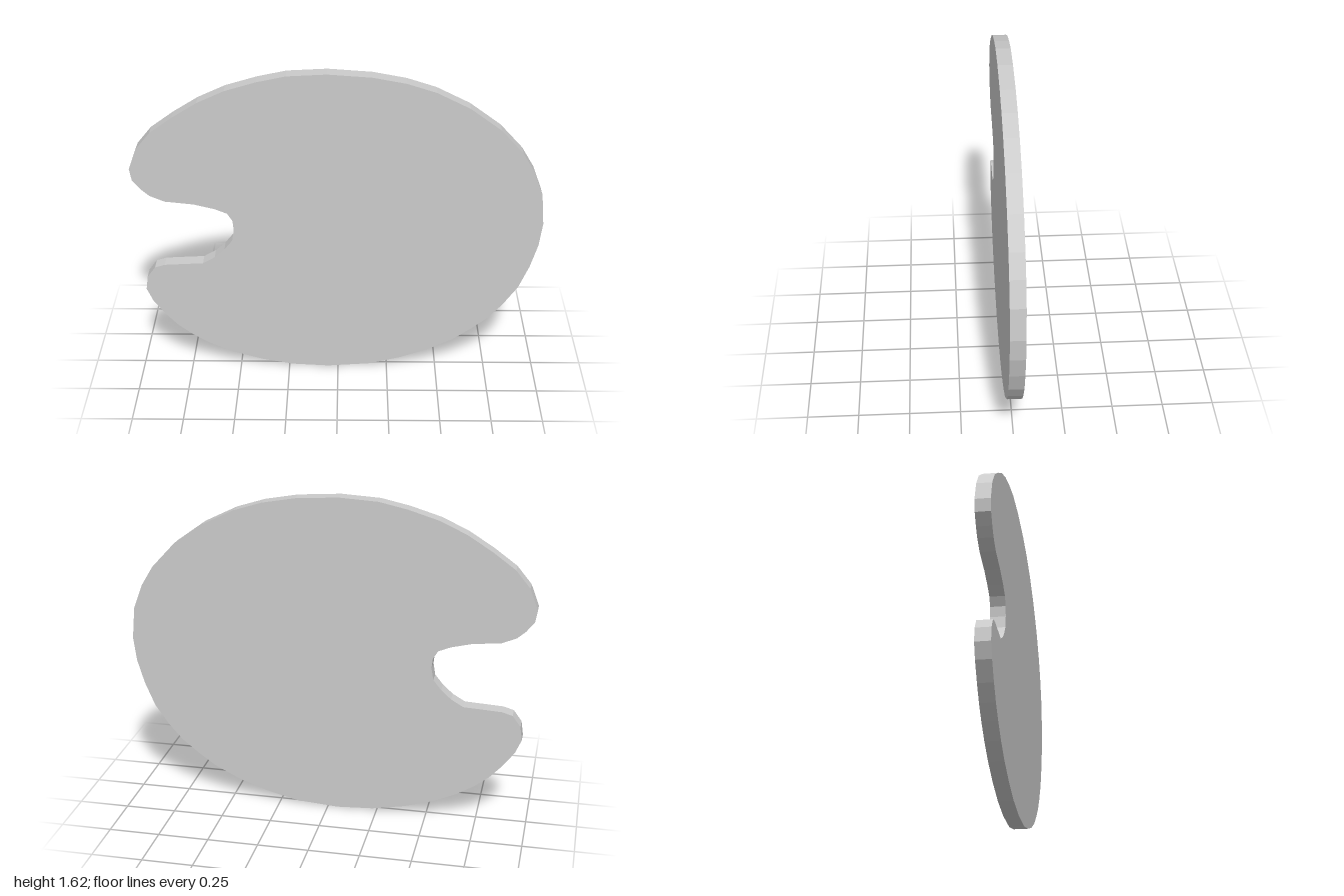
import * as THREE from 'three';

const THICKNESS = 0.072;

// Board outline, counter-clockwise, in four runs
const OUTLINE = [
  // thumb notch, from its inner end out along the lower lip
  [-0.51, 0.8], [-0.52, 0.74], [-0.56, 0.69], [-0.61, 0.645], [-0.67, 0.61], [-0.77, 0.605], [-0.86, 0.6],
  // lower lobe and bottom edge
  [-0.91, 0.585], [-0.95, 0.53], [-0.96, 0.46], [-0.93, 0.39], [-0.87, 0.31], [-0.81, 0.245], [-0.74, 0.19],
  [-0.65, 0.135], [-0.54, 0.085], [-0.39, 0.04], [-0.23, 0.01], [-0.05, 0], [0.16, 0.015], [0.32, 0.055],
  [0.46, 0.105], [0.59, 0.17], [0.68, 0.235], [0.76, 0.3], [0.83, 0.38], [0.9, 0.48], [0.95, 0.6],
  // round end and top edge
  [0.985, 0.72], [1, 0.84], [0.985, 1], [0.94, 1.12], [0.88, 1.22], [0.77, 1.34], [0.62, 1.45], [0.46, 1.53],
  [0.32, 1.575], [0.16, 1.605], [-0.05, 1.62], [-0.24, 1.61], [-0.38, 1.58], [-0.53, 1.535], [-0.66, 1.475],
  [-0.78, 1.4], [-0.89, 1.32],
  // upper lobe and back into the notch
  [-0.96, 1.235], [-1, 1.13], [-0.99, 1.07], [-0.95, 1.02], [-0.91, 0.985], [-0.84, 0.955], [-0.7, 0.94],
  [-0.6, 0.915], [-0.54, 0.89], [-0.515, 0.85],
];

export function createModel() {
  const group = new THREE.Group();
  group.name = 'palette';

  // Flat board with straight facets round its rim
  const shape = new THREE.Shape(OUTLINE.map(([x, y]) => new THREE.Vector2(x, y)));
  const geometry = new THREE.ExtrudeGeometry(shape, { depth: THICKNESS, bevelEnabled: false });
  geometry.translate(0, 0, -THICKNESS / 2);

  const board = new THREE.Mesh(geometry, new THREE.MeshStandardMaterial({ color: 0xcccccc, flatShading: true }));
  board.name = 'paletteBoard';
  group.add(board);
  return group;
}
